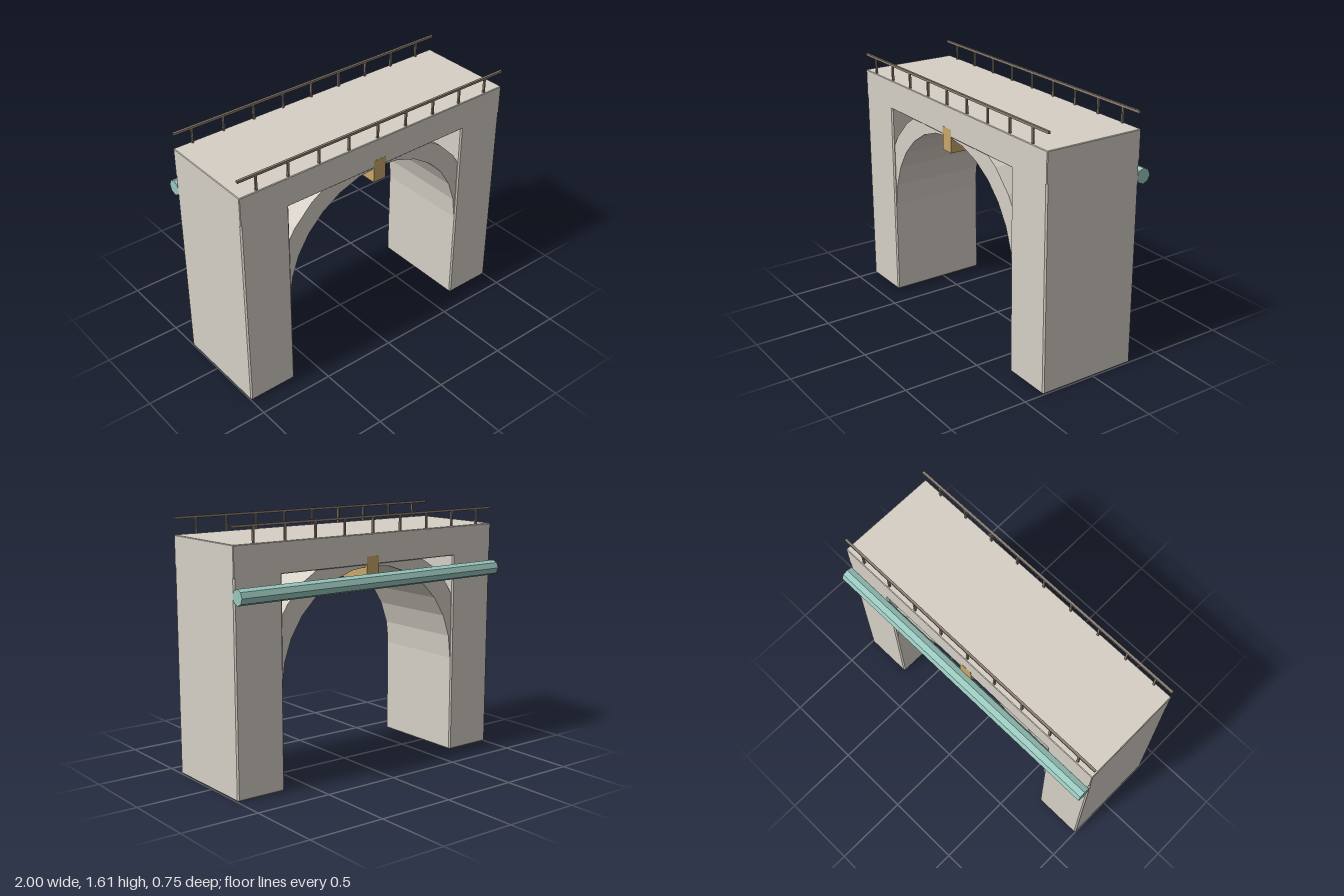
import * as THREE from 'three';
import { ConvexGeometry } from 'three/addons/geometries/ConvexGeometry.js';

const Z_BACK = -0.289, Z_FRONT = 0.372;

// Box with small flat chamfers on every edge
function chamferBox(w, h, d, c) {
  const pts = [];
  for (const sx of [-1, 1]) for (const sy of [-1, 1]) for (const sz of [-1, 1]) {
    const x = w / 2, y = h / 2, z = d / 2;
    pts.push(
      new THREE.Vector3(sx * x, sy * (y - c), sz * (z - c)),
      new THREE.Vector3(sx * (x - c), sy * y, sz * (z - c)),
      new THREE.Vector3(sx * (x - c), sy * (y - c), sz * z)
    );
  }
  return new ConvexGeometry(pts);
}

export function createModel() {
  const group = new THREE.Group();
  group.name = 'archBridge';

  const material = (name, color) => {
    const m = new THREE.MeshStandardMaterial({ color, flatShading: true });
    m.name = name;
    return m;
  };
  const stone = material('stone', 0xd6d0c6);
  const teal = material('tealPipe', 0x9ac8be);
  const ochre = material('ochreKeystone', 0xcaa76b);
  const iron = material('brownRailing', 0x8f8072);

  const add = (name, geometry, mat, x, y, z, parent = group) => {
    const mesh = new THREE.Mesh(geometry, mat);
    mesh.name = name;
    mesh.position.set(x, y, z);
    parent.add(mesh);
  };

  const depth = Z_FRONT - Z_BACK;
  const zMid = (Z_FRONT + Z_BACK) / 2;

  // Piers reach up into the deck, flush with its faces
  const pier = chamferBox(0.33, 1.46, depth, 0.009);
  add('leftPier', pier, stone, 0.835, 0.73, zMid);
  add('rightPier', pier, stone, -0.835, 0.73, zMid);
  add('deck', chamferBox(2, 0.19, depth, 0.004), stone, 0, 1.405, zMid);

  // Faceted half-ring vault between the piers
  const segments = 14, inner = 0.67, outer = 0.8;
  const ring = new THREE.Shape();
  for (let i = 0; i <= segments; i++) {
    const a = (i / segments) * Math.PI;
    const p = [Math.cos(a) * outer, Math.sin(a) * outer];
    if (i === 0) ring.moveTo(...p);
    else ring.lineTo(...p);
  }
  for (let i = segments; i >= 0; i--) {
    const a = (i / segments) * Math.PI;
    ring.lineTo(Math.cos(a) * inner, Math.sin(a) * inner);
  }
  const vaultDepth = depth - 0.026;
  const vault = new THREE.ExtrudeGeometry(ring, { depth: vaultDepth, bevelEnabled: false });
  add('archVault', vault, stone, 0, 0.63, zMid - vaultDepth / 2);

  // Keystone bar running right through the arch
  add('keystone', new THREE.BoxGeometry(0.092, 0.15, depth + 0.002), ochre, 0, 1.285, zMid);

  // Octagonal pipe along the back
  const pipe = new THREE.CylinderGeometry(0.049, 0.049, 2, 8);
  pipe.rotateZ(Math.PI / 2);
  add('pipe', pipe, teal, 0, 1.21, -0.324);

  // Railings
  const railGeo = new THREE.BoxGeometry(2, 0.015, 0.015);
  const postGeo = new THREE.BoxGeometry(0.012, 0.1, 0.012);
  for (const [name, z] of [['frontRailing', 0.36], ['backRailing', -0.274]]) {
    const railing = new THREE.Group();
    railing.name = name;
    group.add(railing);
    add('handrail', railGeo, iron, 0, 1.602, z, railing);
    for (let i = 0; i < 9; i++) {
      add('post', postGeo, iron, -0.878 + i * 0.2167, 1.549, z, railing);
    }
  }

  return group;
}
